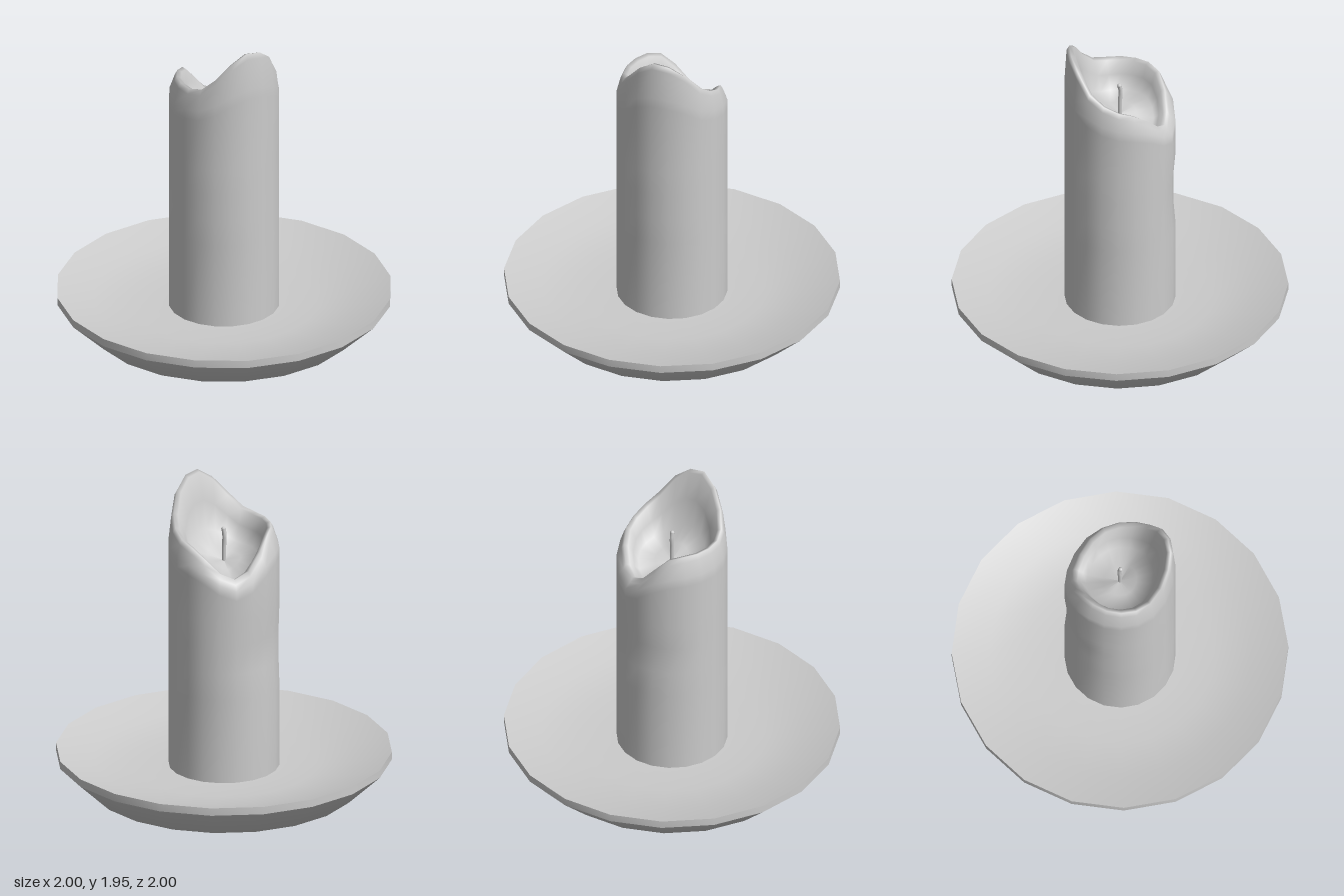
import * as THREE from 'three';
import { toCreasedNormals } from 'three/addons/utils/BufferGeometryUtils.js';

const SIDES = 20;

// Closed skin through rings of [x, y, z] points, listed from the bottom up and then inward
function skin(rings) {
  const n = rings[0].length;
  const index = [];
  for (let i = 0; i < rings.length - 1; i++) {
    for (let j = 0; j < n; j++) {
      const a = i * n + j, b = i * n + (j + 1) % n;
      const c = a + n, d = b + n;
      index.push(a, c, b, b, c, d);
    }
  }
  const geometry = new THREE.BufferGeometry();
  geometry.setAttribute('position', new THREE.Float32BufferAttribute(rings.flat(2), 3));
  geometry.setIndex(index);
  geometry.computeVertexNormals();
  return geometry;
}

export function createModel() {
  const group = new THREE.Group();
  const material = new THREE.MeshStandardMaterial({ color: 0xcccccc });
  const add = (name, geometry) => {
    const mesh = new THREE.Mesh(geometry, material);
    mesh.name = name;
    group.add(mesh);
  };

  // Shallow dish with a small foot and a thin upright rim
  const dishProfile = [
    [0, 0], [0.2, 0], [0.25, 0.015], [0.31, 0.04], [0.74, 0.04], [0.8, 0.04], [1, 0.228],
    [1, 0.275], [0.78, 0.208], [0.56, 0.177], [0.33, 0.175], [0, 0.175],
  ].map(([r, y]) => new THREE.Vector2(r, y));
  add('dish', toCreasedNormals(new THREE.LatheGeometry(dishProfile, SIDES), 0.79));

  // Height of the melted lip around the candle, from +x towards +z
  const lip = [
    1.63, 1.66, 1.70, 1.76, 1.87, 1.935, 1.95, 1.89, 1.79, 1.71,
    1.69, 1.69, 1.69, 1.69, 1.67, 1.59, 1.49, 1.45, 1.49, 1.57,
  ];
  const ring = (radius, height) => lip.map((h, j) => {
    const a = j / SIDES * Math.PI * 2;
    const r = typeof radius === 'function' ? radius(a) : radius;
    const y = typeof height === 'function' ? height(h) : height;
    return [r * Math.cos(a), y, r * Math.sin(a)];
  });
  // Slight hollow in the back of the wall
  const hollow = (a) => 0.33 - 0.018 * Math.max(0, -Math.sin(a)) ** 6;
  // Lip leans out a little at the front
  const crest = (a) => 0.29 + 0.012 * Math.sin(a);
  const shoulder = (h) => Math.min(h - 0.06, 1.55 + (h - 1.66) * 0.6);
  const pool = (h) => Math.min(h - 0.04, 1.5 + (h - 1.66) * 0.35);

  add('candle', skin([
    ring(0.33, 0.16),
    ring(0.33, 0.7),
    ring(hollow, 0.86),
    ring(hollow, 1.04),
    ring(0.33, 1.2),
    ring(0.33, (h) => shoulder(h) - 0.06),
    ring(0.329, shoulder),
    ring((a) => crest(a) + 0.016, (h) => h - 0.03),
    ring(crest, (h) => h),
    ring((a) => crest(a) - 0.025, (h) => h - 0.01),
    ring(0.23, (h) => h + (pool(h) - h) * 0.5),
    ring(0.2, pool),
    ring(0.1, (h) => 1.47 + (pool(h) - 1.47) * 0.45),
    ring(0, 1.47),
  ]));

  // Short wick with a slight bend and a burnt tip
  const wickPath = new THREE.CatmullRomCurve3([
    new THREE.Vector3(0, 1.44, 0),
    new THREE.Vector3(0, 1.56, 0),
    new THREE.Vector3(0, 1.63, -0.004),
    new THREE.Vector3(0, 1.67, 0.004),
  ]);
  add('wick', new THREE.TubeGeometry(wickPath, 8, 0.013, 8));
  const tip = new THREE.SphereGeometry(0.014, 8, 6);
  tip.translate(0, 1.668, 0.004);
  add('wickTip', tip);

  return group;
}
